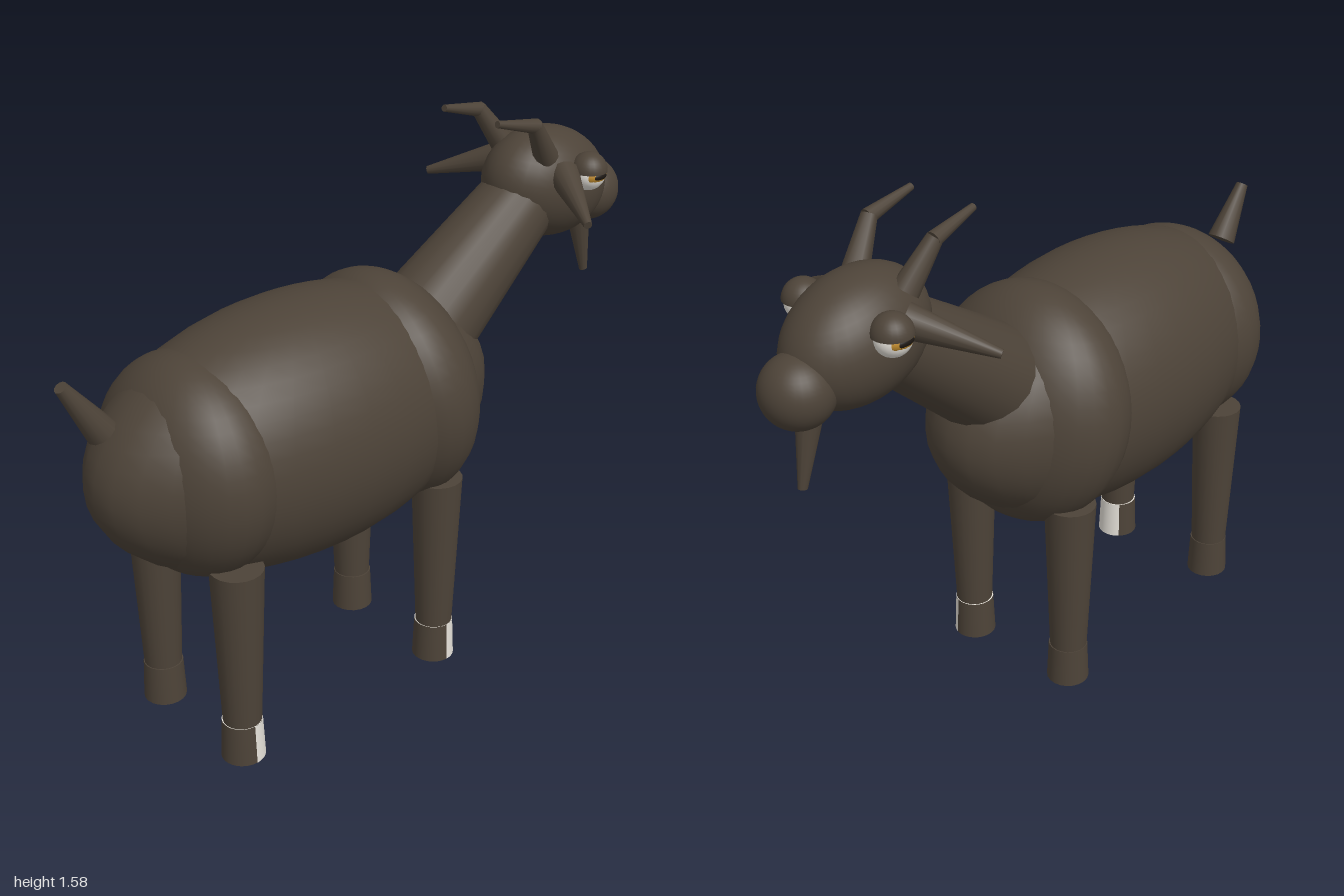
import * as THREE from 'three';

const mat = (name, color) => {
  const m = new THREE.MeshStandardMaterial({ color });
  m.name = name;
  return m;
};

export function createModel() {
  const coat = mat('dark brown coat', 0x4d4338);
  const white = mat('off white', 0xe6e2da);
  const amber = mat('amber iris', 0xbf8a2c);
  const black = mat('pupil black', 0x1c1713);
  const goat = new THREE.Group();
  goat.name = 'goat';

  const add = (name, geometry, material, parent = goat) => {
    const mesh = new THREE.Mesh(geometry, material);
    mesh.name = name;
    parent.add(mesh);
    return mesh;
  };

  // Ellipsoid with given centre, radii and tilt about z
  const blob = (name, pos, radii, tilt = 0) => {
    const m = add(name, new THREE.SphereGeometry(1, 32, 24), coat);
    m.position.set(...pos);
    m.scale.set(...radii);
    m.rotation.z = tilt;
    return m;
  };

  // Tapered limb running from point a (radius ra) to point b (radius rb)
  const taper = (name, a, b, ra, rb, sides = 20) => {
    const from = new THREE.Vector3(...a), to = new THREE.Vector3(...b);
    const dir = to.clone().sub(from);
    const m = add(name, new THREE.CylinderGeometry(rb, ra, dir.length(), sides), coat);
    m.position.copy(from).add(to).multiplyScalar(0.5);
    m.quaternion.setFromUnitVectors(new THREE.Vector3(0, 1, 0), dir.normalize());
    return m;
  };

  // Torso
  blob('body', [-0.262, 0.838, 0], [0.662, 0.372, 0.328]);
  blob('chest', [0.06, 0.85, 0], [0.22, 0.352, 0.325], 0.15);
  blob('haunch', [-0.62, 0.84, 0], [0.22, 0.31, 0.3]);
  taper('tail', [-0.885, 1.025, 0], [-0.987, 1.178, 0], 0.043, 0.018, 12);

  // Neck and head
  taper('neck', [0.22, 0.99, 0], [0.65, 1.31, 0], 0.157, 0.112);
  blob('head', [0.705, 1.31, 0], [0.22, 0.166, 0.152], -0.25);
  blob('muzzle', [0.903, 1.24, 0], [0.097, 0.097, 0.097]);
  const beard = taper('beard', [0.868, 1.18, 0], [0.912, 0.972, 0], 0.042, 0.014, 12);
  beard.scale.z = 0.8;

  // Hoof; the left ones have a white patch and white end faces
  const hoof = (name, x, z, patch) => {
    const group = new THREE.Group();
    group.name = name;
    group.position.set(x, 0.06, z);
    goat.add(group);
    const wall = (label, start, length, material) =>
      add(label, new THREE.CylinderGeometry(0.057, 0.062, 0.12, 20, 1, true, start, length), material, group);
    wall('hoofWall', patch, Math.PI * 2 - patch, coat);
    if (patch) wall('hoofPatch', 0, patch, white);
    for (const s of [-1, 1]) {
      const cap = add(s < 0 ? 'hoofSole' : 'hoofTop',
        new THREE.CircleGeometry(s < 0 ? 0.062 : 0.057, 20), patch ? white : coat, group);
      cap.rotation.x = -s * Math.PI / 2;
      cap.position.y = s * 0.06;
    }
  };

  for (const s of [1, -1]) {
    const side = s > 0 ? 'left' : 'right';

    // Legs
    for (const [end, x, patch] of [['Front', 0.102, 1.22], ['Rear', -0.625, 2.3]]) {
      taper(`${side}${end}Leg`, [x, 0.11, s * 0.185], [x, 0.605, s * 0.187], 0.054, 0.074);
      hoof(`${side}${end}Hoof`, x, s * 0.184, s > 0 ? patch : 0);
    }

    // Ears and two-piece horns
    taper(`${side}Ear`, [0.655, 1.368, s * 0.12], [0.538, 1.297, s * 0.322], 0.046, 0.012, 14);
    taper(`${side}HornBase`, [0.615, 1.42, s * 0.085], [0.532, 1.538, s * 0.11], 0.037, 0.022, 12);
    taper(`${side}HornTip`, [0.54, 1.533, s * 0.11], [0.387, 1.568, s * 0.104], 0.022, 0.01, 12);

    // Eye: white ball, lid over the top half, thin iris and pupil caps facing sideways
    const eye = new THREE.Group();
    eye.name = `${side}Eye`;
    eye.position.set(0.73, 1.363, s * 0.15);
    goat.add(eye);
    add('eyeball', new THREE.SphereGeometry(0.05, 24, 16), white, eye);
    const lid = add('eyelid', new THREE.SphereGeometry(0.055, 24, 10, 0, Math.PI * 2, 0, Math.PI / 2), coat, eye);
    lid.position.y = 0.008;
    const lidBase = add('eyelidUnderside', new THREE.CircleGeometry(0.055, 24), coat, eye);
    lidBase.rotation.x = Math.PI / 2;
    lidBase.position.y = 0.008;
    const cap = (name, r, angle, material, flat) => {
      const c = add(name, new THREE.SphereGeometry(r, 20, 6, 0, Math.PI * 2, 0, angle), material, eye);
      c.rotation.x = s * Math.PI / 2;
      c.scale.z = flat;
    };
    cap('iris', 0.052, 0.85, amber, 0.65);
    cap('pupil', 0.0535, 0.5, black, 0.45);
  }
  return goat;
}
